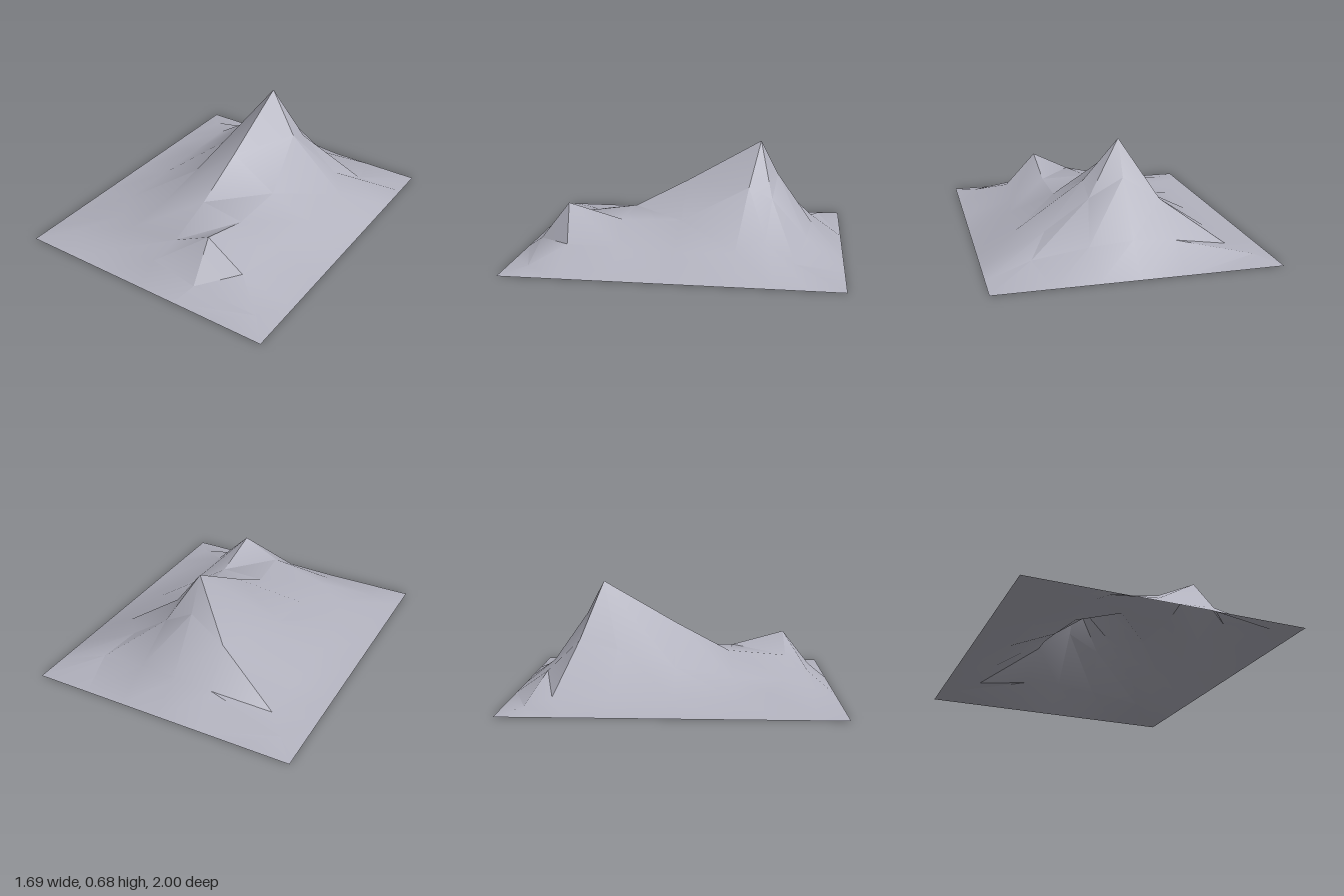
import * as THREE from 'three';
import { toCreasedNormals } from 'three/addons/utils/BufferGeometryUtils.js';

const HALF_W = 0.845, HALF_D = 1;

// Cross-sections from back to front: [x, y, z] of the points inside the flat rim
const sections = [
  [[-0.72, 0.03, -0.85], [-0.25, 0.14, -0.8], [0, 0.16, -0.8], [0.25, 0.13, -0.77], [0.57, 0.06, -0.71]],   // back foot
  [[-0.6, 0.055, -0.71], [-0.22, 0.33, -0.6], [0, 0.47, -0.58], [0.2, 0.35, -0.555], [0.46, 0.16, -0.53]],  // back crease
  [[-0.6, 0.05, -0.38], [-0.26, 0.28, -0.36], [0, 0.68, -0.47], [0.2, 0.42, -0.41], [0.6, 0.125, -0.36]],   // main peak
  [[-0.6, 0.05, 0], [-0.31, 0.18, 0], [0, 0.41, 0], [0.3, 0.22, 0], [0.6, 0.11, 0]],                        // shoulder
  [[-0.6, 0.05, 0.38], [-0.31, 0.12, 0.36], [0, 0.23, 0.34], [0.3, 0.215, 0.37], [0.51, 0.1, 0.35]],        // saddle
  [[-0.48, 0.07, 0.57], [-0.31, 0.11, 0.68], [0.06, 0.19, 0.71], [0.3, 0.31, 0.71], [0.51, 0.105, 0.67]],   // front peak
  [[-0.66, 0.03, 0.82], [-0.3, 0.06, 0.85], [0, 0.1, 0.85], [0.32, 0.08, 0.89], [0.72, 0.03, 0.85]],        // front foot
];
const rimX = [-HALF_W, -0.5, -0.25, 0, 0.25, 0.5, HALF_W];
const rimZ = [-0.8, -0.6, -0.38, 0, 0.35, 0.65, 0.85];

// Cells (row, column) whose diagonal runs from back -x to front +x:
// two rim corners and the ridge left of the main peak
const turnedCells = new Set(['0,0', '2,2', '7,5']);

function terrainGeometry() {
  const edge = (z) => rimX.map((x) => [x, 0, z]);
  const rows = [
    edge(-HALF_D),
    ...sections.map((s, i) => [[-HALF_W, 0, rimZ[i]], ...s, [HALF_W, 0, rimZ[i]]]),
    edge(HALF_D),
  ];
  const cols = rimX.length, index = [];
  for (let r = 0; r < rows.length - 1; r++) {
    for (let c = 0; c < cols - 1; c++) {
      const a = r * cols + c, b = a + 1, d = a + cols, e = d + 1;
      if (turnedCells.has(`${r},${c}`)) index.push(a, d, e, a, e, b);
      else index.push(a, d, b, b, d, e);
    }
  }
  const geometry = new THREE.BufferGeometry();
  geometry.setAttribute('position', new THREE.Float32BufferAttribute(rows.flat(2), 3));
  geometry.setIndex(index);
  return toCreasedNormals(geometry, 0.6);
}

export function createModel() {
  const model = new THREE.Group();
  model.name = 'mountainTerrain';

  // Open sheet, hollow underneath
  const rock = new THREE.MeshStandardMaterial({ color: 0xb2b2be, side: THREE.DoubleSide });
  rock.name = 'greyRock';
  const terrain = new THREE.Mesh(terrainGeometry(), rock);
  terrain.name = 'mountainSurface';
  model.add(terrain);
  return model;
}
